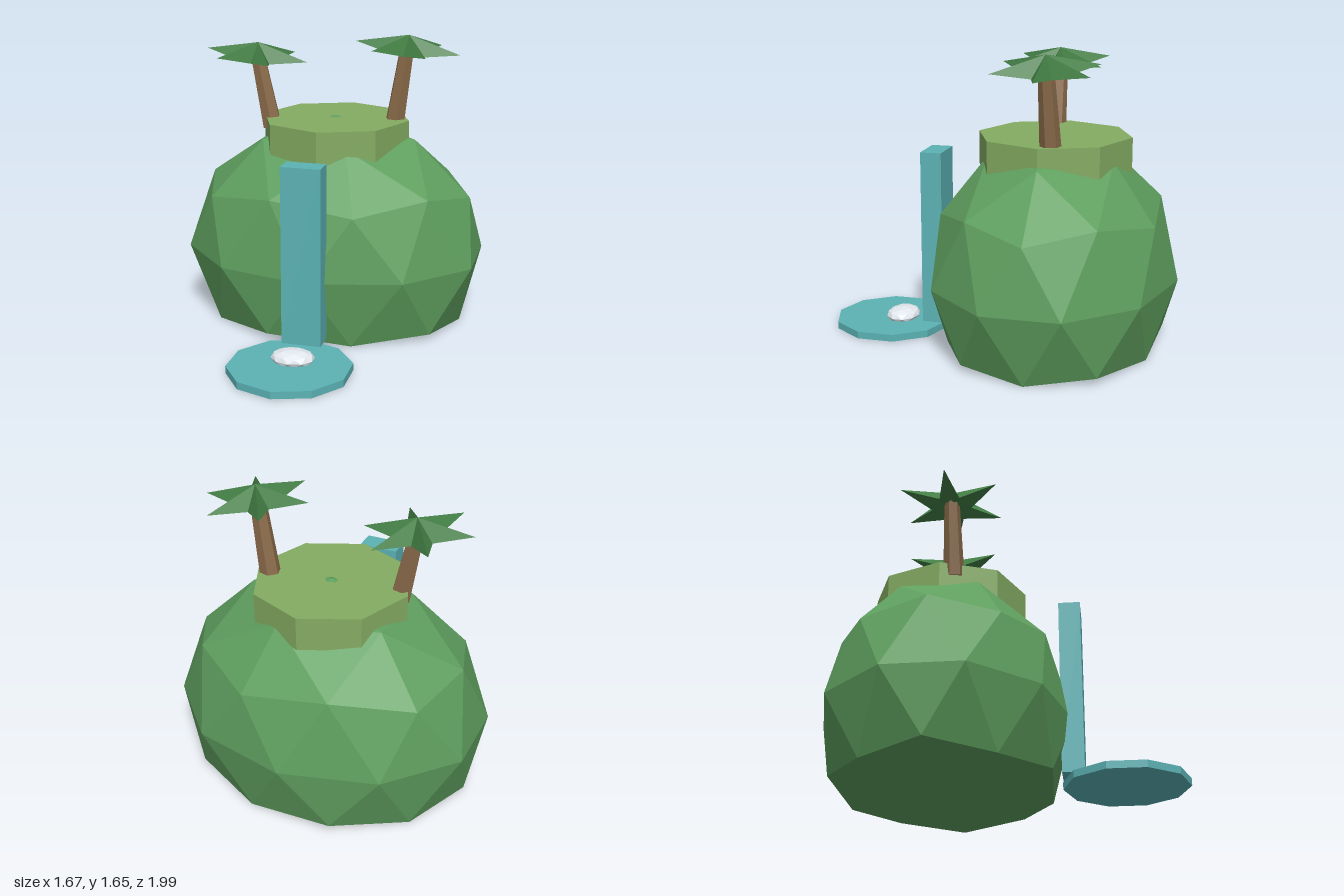
import * as THREE from 'three';

const mat = (color) => new THREE.MeshStandardMaterial({ color, flatShading: true });
const MATS = {
  hill: mat(0x5f9f5f),
  grass: mat(0x84ac62),
  water: mat(0x5cb3b5),
  foam: mat(0xe2e8ee),
  bark: mat(0x8b6b4a),
  leaf: mat(0x437f45),
};

function part(parent, name, geometry, material, x = 0, y = 0, z = 0) {
  const mesh = new THREE.Mesh(geometry, material);
  mesh.name = name;
  mesh.position.set(x, y, z);
  parent.add(mesh);
  return mesh;
}

// Icosphere with a corner at the top, stretched and cut flat at a floor height
function boulder(rx, ry, rz, floor) {
  const g = new THREE.IcosahedronGeometry(1, 1);
  g.rotateZ(-Math.atan(2 / (1 + Math.sqrt(5))));
  g.scale(rx, ry, rz);
  const p = g.attributes.position;
  for (let i = 0; i < p.count; i++) p.setY(i, Math.max(p.getY(i), floor));
  g.computeVertexNormals();
  return g;
}

// Six-pointed folded crown: a cone whose every other rim corner is pulled in and down
function crownGeometry(radius, height) {
  const g = new THREE.ConeGeometry(radius, height, 12).toNonIndexed();
  g.translate(0, height / 2, 0);
  const p = g.attributes.position;
  for (let i = 0; i < p.count; i++) {
    const x = p.getX(i), z = p.getZ(i);
    if (Math.hypot(x, z) < radius / 2) continue;
    const step = Math.round(Math.atan2(x, z) / (Math.PI / 6));
    if (step % 2 === 0) p.setXYZ(i, x * 0.36, -0.033, z * 0.36);
  }
  g.computeVertexNormals();
  return g;
}

// Leaning trunk from base to top with a crown of leaves
function palm(name, base, top, crownY) {
  const group = new THREE.Group();
  group.name = name;
  const a = new THREE.Vector3(...base), b = new THREE.Vector3(...top);
  const dir = b.clone().sub(a);
  const trunk = part(group, 'trunk', new THREE.CylinderGeometry(0.042, 0.058, dir.length(), 6), MATS.bark);
  trunk.position.copy(a).add(b).multiplyScalar(0.5);
  trunk.quaternion.setFromUnitVectors(new THREE.Vector3(0, 1, 0), dir.normalize());
  trunk.rotateY(0.25);
  const crown = part(group, 'leafCrown', crownGeometry(0.3, 0.075), MATS.leaf, b.x, crownY, b.z);
  crown.rotation.z = -0.1;
  return group;
}

export function createModel() {
  const model = new THREE.Group();
  model.name = 'island';

  // Hill and grassy plateau
  part(model, 'hill', boulder(0.88, 0.79, 0.69, -0.39), MATS.hill, 0, 0.39, -0.3);
  part(model, 'plateau', new THREE.CylinderGeometry(0.428, 0.428, 0.185, 8), MATS.grass, 0, 1.0775, -0.295);

  // Waterfall, pool and foam
  part(model, 'waterfall', new THREE.BoxGeometry(0.22, 0.99, 0.12), MATS.water, 0, 0.555, 0.385);
  part(model, 'pool', new THREE.CylinderGeometry(0.336, 0.336, 0.04, 10), MATS.water, 0, 0.02, 0.66);
  part(model, 'foam', boulder(0.12, 0.045, 0.095, -0.04), MATS.foam, 0, 0.055, 0.6);

  // Palm trees
  model.add(palm('rightPalm', [-0.36, 1.11, -0.225], [-0.45, 1.54, -0.23], 1.518));
  model.add(palm('leftPalm', [0.335, 1.14, -0.345], [0.405, 1.6, -0.33], 1.578));

  return model;
}
